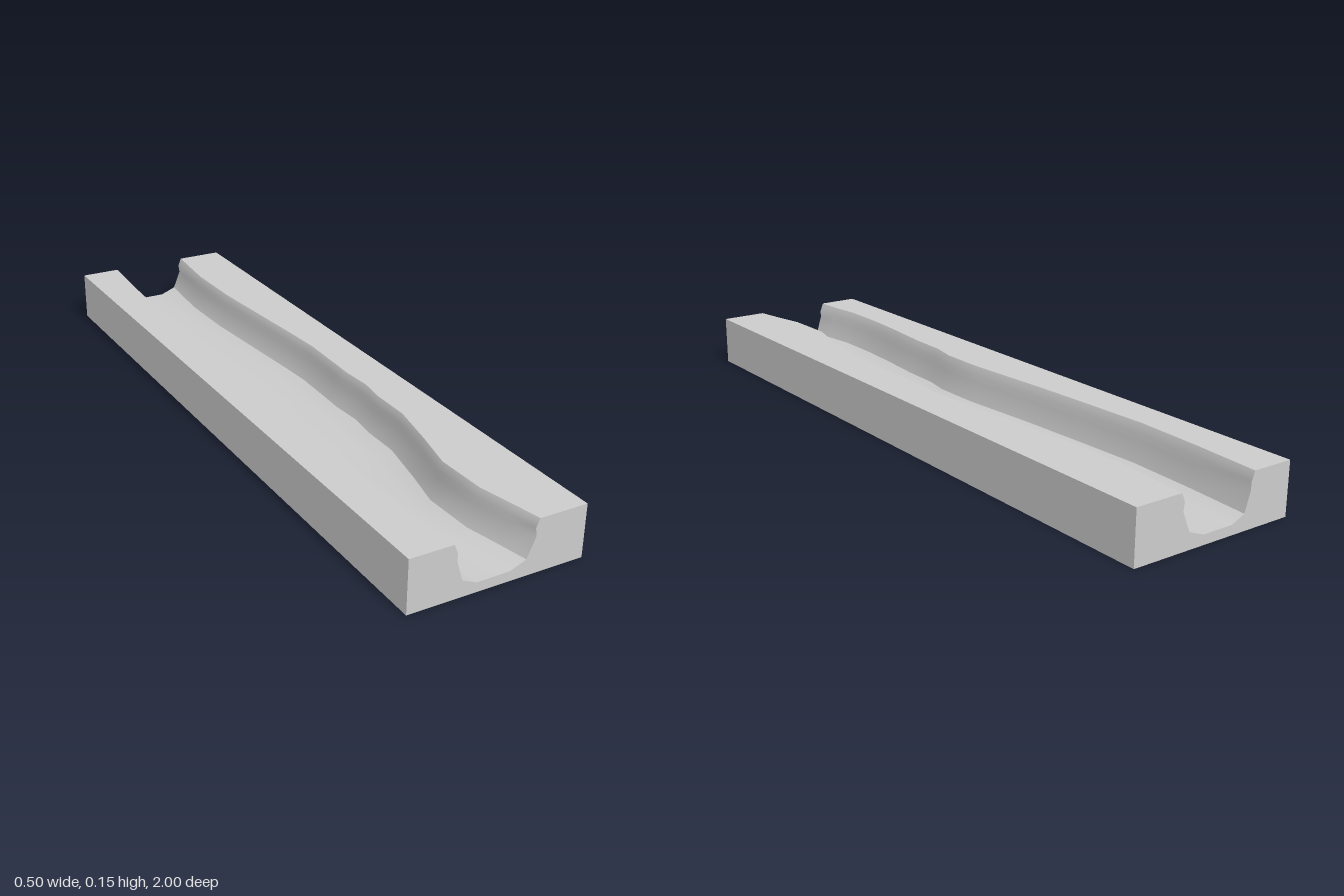
import * as THREE from 'three';
import { toCreasedNormals } from 'three/addons/utils/BufferGeometryUtils.js';

const HALF_WIDTH = 0.248, HEIGHT = 0.147;

// Stations along the channel: [z, sideways shift of left-hand (-x) bank, shift of right-hand (+x) bank]
const STATIONS = [
  [-1, 0, 0], [-0.8, -0.013, -0.016], [-0.6, -0.02, -0.012], [-0.4, -0.011, 0.004],
  [-0.2, 0, 0.02], [-0.1, 0.008, 0.026], [0.05, 0.02, 0.022], [0.1, 0.021, 0.02],
  [0.2, 0.021, 0.026], [0.28, 0.006, 0.016], [0.4, 0.003, 0.016], [0.55, -0.01, -0.014],
  [0.67, -0.017, -0.042], [0.82, -0.018, -0.038], [0.92, -0.004, -0.016], [1, 0, 0],
];

// Cross-section of the channel, from the +x lip down and up to the -x lip
const CHANNEL = [
  [0.11, HEIGHT], [0.1, 0.124], [0.103, 0.1], [0.08, 0.045], [0.033, 0.027],
  [-0.06, 0.027], [-0.1, 0.045], [-0.117, 0.1], [-0.117, 0.122], [-0.127, HEIGHT],
];

export function createModel() {
  const group = new THREE.Group();
  group.name = 'riverChannelTile';

  // Block with the channel cut from its top
  const outline = [
    [-HALF_WIDTH, 0], [HALF_WIDTH, 0], [HALF_WIDTH, HEIGHT], ...CHANNEL, [-HALF_WIDTH, HEIGHT],
  ];
  const shape = new THREE.Shape(outline.map(([x, y]) => new THREE.Vector2(x, y)));
  const steps = STATIONS.length - 1;
  const geometry = new THREE.ExtrudeGeometry(shape, { depth: steps, steps, bevelEnabled: false });

  // Move each slice to its station and let the banks meander
  const pos = geometry.attributes.position;
  for (let i = 0; i < pos.count; i++) {
    const [z, minusShift, plusShift] = STATIONS[Math.round(pos.getZ(i))];
    const x = pos.getX(i);
    if (Math.abs(x) < 0.2) pos.setX(i, x + (x < 0 ? minusShift : plusShift));
    pos.setZ(i, z);
  }

  const material = new THREE.MeshStandardMaterial({ color: 0xcccccc });
  const block = new THREE.Mesh(toCreasedNormals(geometry, THREE.MathUtils.degToRad(40)), material);
  block.name = 'channelBlock';
  group.add(block);
  return group;
}
